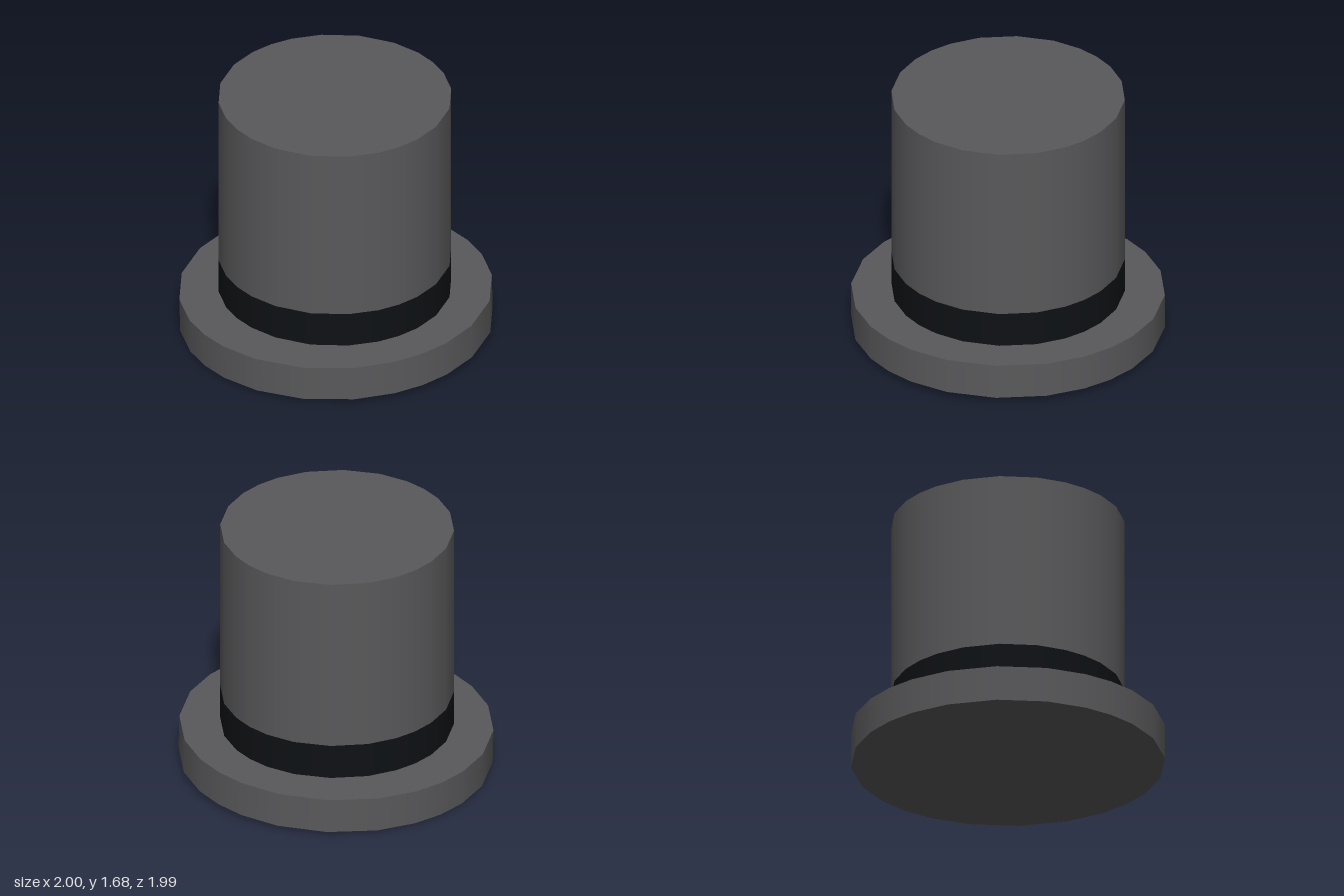
import * as THREE from 'three';

// Angles of one quadrant's corners (degrees); the ring repeats four times
const QUADRANT = [0, 18.5, 33.6, 45, 56.4, 71.5];
const SIDES = QUADRANT.length * 4;

// Closed disc-like drum whose corners are spaced unevenly around the ring
function drum(name, radius, height, color) {
  const geometry = new THREE.CylinderGeometry(radius, radius, height, SIDES);
  const pos = geometry.attributes.position;
  const normal = geometry.attributes.normal;
  for (let i = 0; i < pos.count; i++) {
    const x = pos.getX(i), z = pos.getZ(i);
    if (Math.hypot(x, z) < 1e-6) continue; // cap centre
    const turn = Math.atan2(x, z) / (Math.PI * 2) + 1;
    const step = Math.round(turn * SIDES) % SIDES;
    const degrees = Math.floor(step / 6) * 90 + QUADRANT[step % 6];
    const a = THREE.MathUtils.degToRad(degrees);
    pos.setX(i, Math.sin(a) * radius);
    pos.setZ(i, Math.cos(a) * radius);
    if (Math.abs(normal.getY(i)) < 0.5) normal.setXYZ(i, Math.sin(a), 0, Math.cos(a));
  }
  const mesh = new THREE.Mesh(geometry, new THREE.MeshStandardMaterial({ color }));
  mesh.name = name;
  return mesh;
}

export function createModel() {
  const hat = new THREE.Group();
  hat.name = 'topHat';
  const felt = 0x59595b, ribbon = 0x0e1114;

  // Brim, tipped slightly up toward +x
  const brim = drum('brim', 0.997, 0.232, felt);
  brim.position.y = 0.141;
  brim.rotation.z = 0.0225;

  // Upright crown above a dark band
  const bottom = 0.275, bandTop = 0.508, top = 1.68, radius = 0.742;
  const band = drum('band', radius, bandTop - bottom, ribbon);
  band.position.set(-0.007, (bottom + bandTop) / 2, 0);
  const crown = drum('crown', radius, top - bandTop, felt);
  crown.position.set(-0.007, (bandTop + top) / 2, 0);

  hat.add(brim, band, crown);
  return hat;
}
